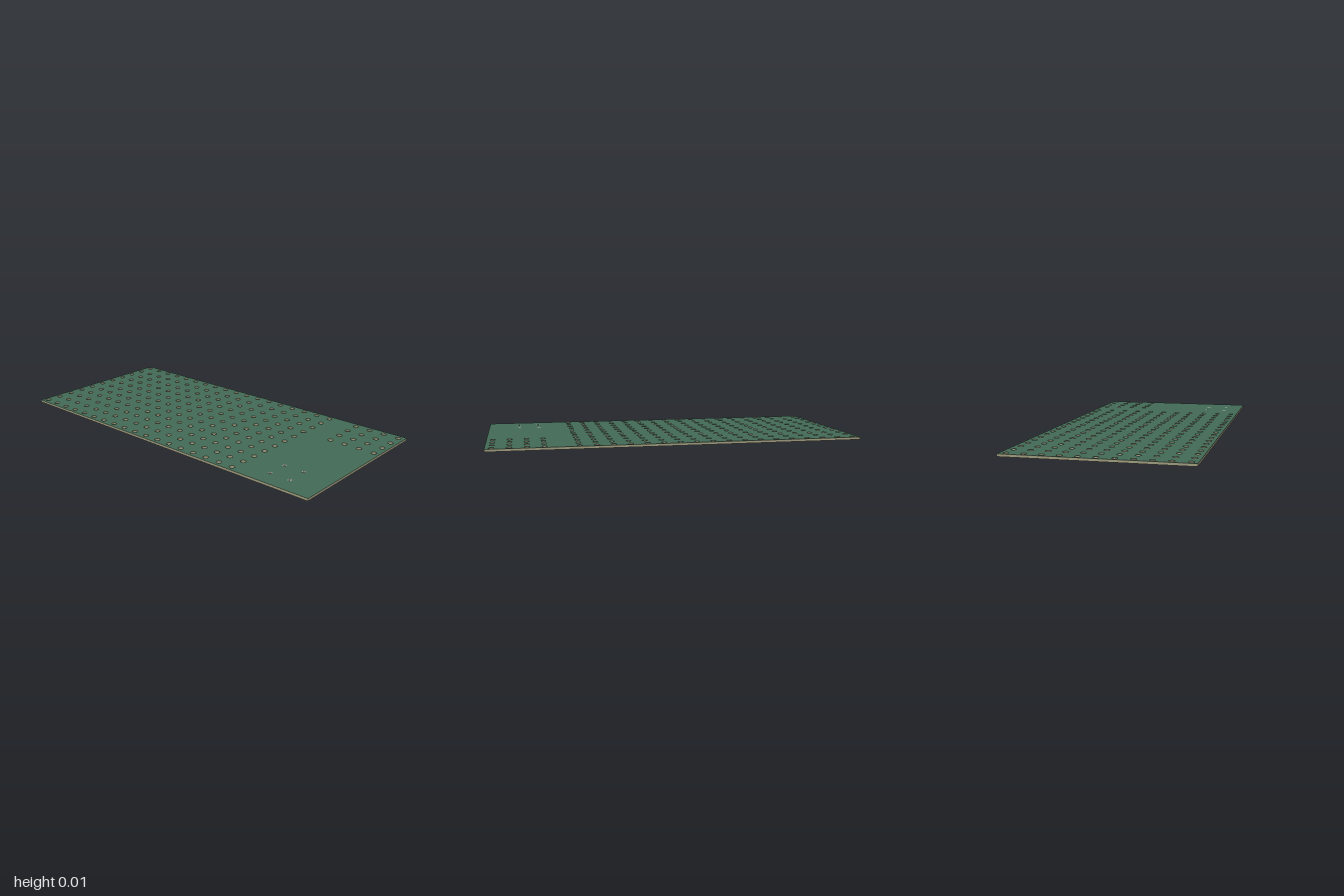
import * as THREE from 'three';

const HALF_X = 1, HALF_Z = 0.4725;
const BOTTOM = 0.0004, THICK = 0.0134;
const PITCH = 0.0879, HOLE_R = 0.0147;
const PAD_R = 0.0105, PAD_BORE = 0.0045, BARREL_R = 0.006;

function holeCentres() {
  const list = [];
  // main field, 18 x 11
  for (let i = 0; i < 18; i++)
    for (let j = 0; j < 11; j++) list.push([-0.968 + i * PITCH, (j - 5) * PITCH]);
  // small field in the back left corner, 4 x 4
  for (let i = 0; i < 4; i++)
    for (let j = 0; j < 4; j++) list.push([0.703 + i * PITCH, (j - 5) * PITCH]);
  return list;
}

function padCentres() {
  const list = [];
  for (const x of [0.711, 0.826]) for (const z of [0.254, 0.371]) list.push([x, z]);
  return list;
}

export function createModel() {
  const group = new THREE.Group();
  group.name = 'perforatedBoard';
  const green = new THREE.MeshStandardMaterial({ color: 0x426a56 });
  const tan = new THREE.MeshStandardMaterial({ color: 0x9a967a });
  const metal = new THREE.MeshStandardMaterial({ color: 0xb4b4aa });

  // board: green faces, bare edges and hole walls
  const outline = new THREE.Shape([
    new THREE.Vector2(-HALF_X, -HALF_Z), new THREE.Vector2(HALF_X, -HALF_Z),
    new THREE.Vector2(HALF_X, HALF_Z), new THREE.Vector2(-HALF_X, HALF_Z),
  ]);
  const drill = ([x, z], r) => {
    outline.holes.push(new THREE.Path().absarc(x, -z, r, 0, Math.PI * 2, true));
  };
  holeCentres().forEach((c) => drill(c, HOLE_R));
  padCentres().forEach((c) => drill(c, BARREL_R));
  const boardGeo = new THREE.ExtrudeGeometry(outline, {
    depth: THICK, bevelEnabled: false, curveSegments: 24,
  });
  boardGeo.rotateX(-Math.PI / 2).translate(0, BOTTOM, 0);
  const board = new THREE.Mesh(boardGeo, [green, tan]);
  board.name = 'board';
  group.add(board);

  // plated solder pads: a ring on each face joined by a barrel
  const top = BOTTOM * 2 + THICK;
  const ring = new THREE.Shape().absarc(0, 0, PAD_R, 0, Math.PI * 2, false);
  ring.holes.push(new THREE.Path().absarc(0, 0, PAD_BORE, 0, Math.PI * 2, true));
  const padGeo = new THREE.ExtrudeGeometry(ring, {
    depth: top, bevelEnabled: false, curveSegments: 16,
  });
  padGeo.rotateX(-Math.PI / 2);
  for (const [x, z] of padCentres()) {
    const pad = new THREE.Mesh(padGeo, metal);
    pad.name = 'solderPad';
    pad.position.set(x, 0, z);
    group.add(pad);
  }
  return group;
}
